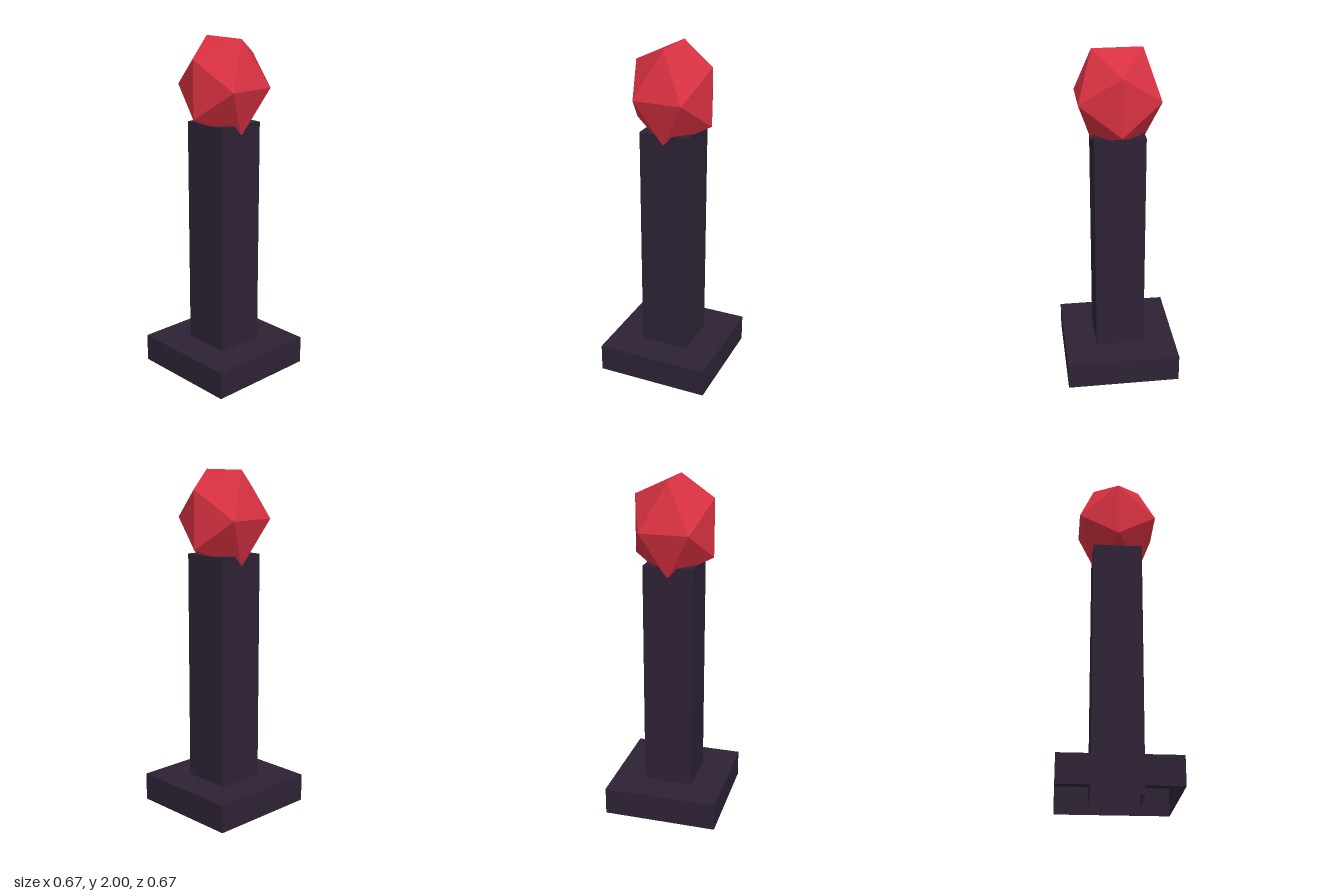
import * as THREE from 'three';

export function createModel() {
  const group = new THREE.Group();
  const dark = new THREE.MeshStandardMaterial({ name: 'darkStone', color: 0x2e2235, side: THREE.DoubleSide });
  const red = new THREE.MeshStandardMaterial({ name: 'redCrystal', color: 0xd93142, flatShading: true });

  // Square box standing on y = 0 with an open underside
  function openBox(name, width, height) {
    const geo = new THREE.BoxGeometry(width, height, width);
    const index = Array.from(geo.index.array);
    index.splice(18, 6); // drop the bottom face
    geo.setIndex(index);
    geo.clearGroups();
    geo.translate(0, height / 2, 0);
    const mesh = new THREE.Mesh(geo, dark);
    mesh.name = name;
    group.add(mesh);
  }
  openBox('base', 0.674, 0.165);
  openBox('pillar', 0.292, 1.522);

  // Stretched icosahedron sunk slightly into the pillar, top edge along z
  const gemGeo = new THREE.IcosahedronGeometry(0.271, 0);
  gemGeo.rotateY(Math.PI / 2);
  gemGeo.scale(1, 1.18, 1);
  const gem = new THREE.Mesh(gemGeo, red);
  gem.name = 'crystal';
  gem.position.y = 1.728;
  group.add(gem);

  return group;
}
